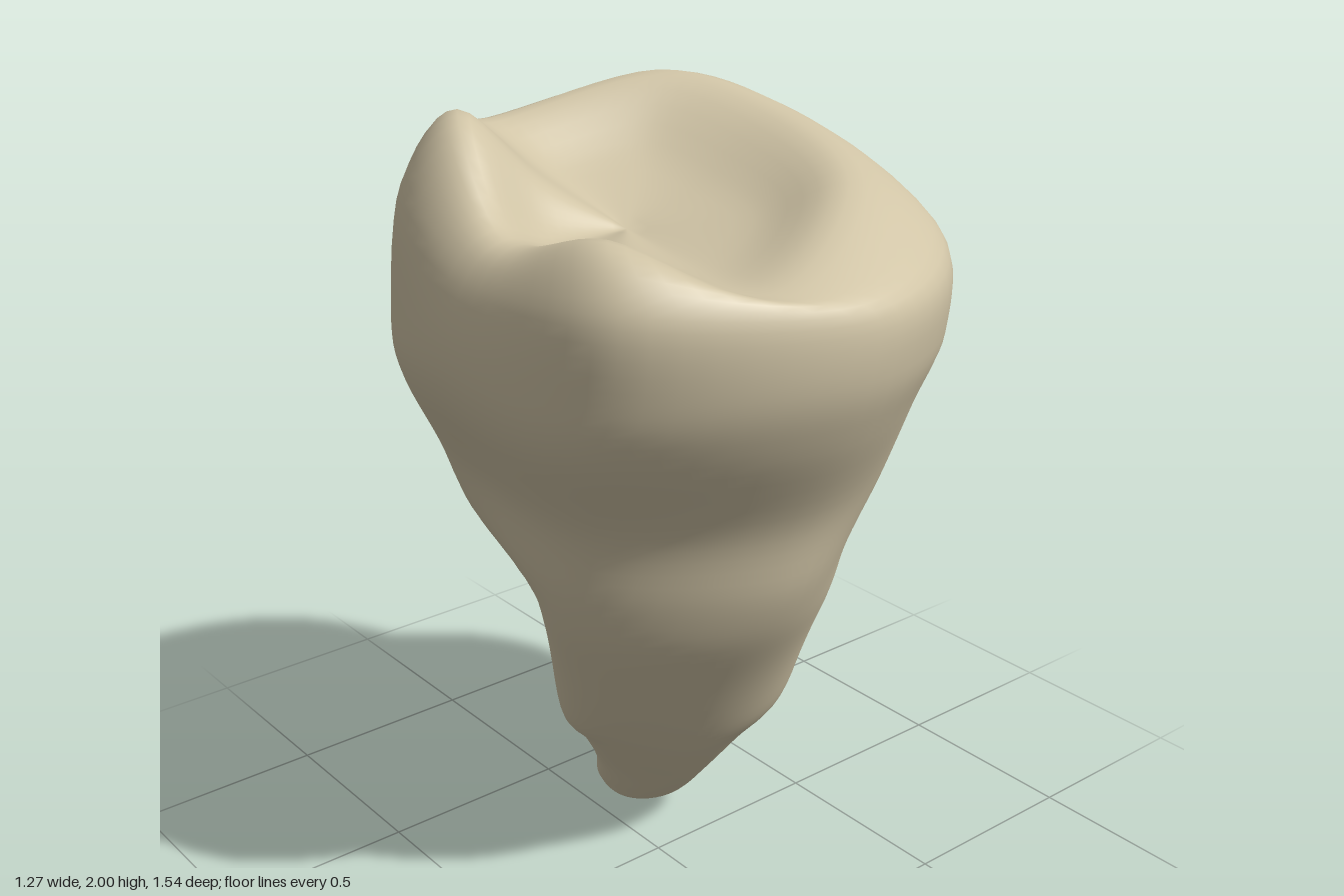
import * as THREE from 'three';
import { mergeGeometries, mergeVertices } from 'three/addons/utils/BufferGeometryUtils.js';

const N = 64, HALF = N / 2;
const V = (x, y, z) => new THREE.Vector3(x, y, z);

// Closed smooth ring through eight [x, z, y] corners: left, front-left, front, ... back-left
function ring(corners, level) {
  const curve = new THREE.CatmullRomCurve3(
    corners.map(([x, z, y = level]) => V(x, y, z)), true, 'catmullrom', 0.5);
  return Array.from({ length: N }, (_, i) => curve.getPoint(i / N));
}

// Skin through rows of N points; "lead" is a hidden row that sets the starting slope
function loft(rows, steps, lead) {
  const all = lead ? [lead, ...rows] : rows;
  const segments = all.length - 1, skip = lead ? steps : 0, count = segments * steps - skip;
  const positions = new Float32Array((count + 1) * N * 3), index = [];
  for (let i = 0; i < N; i++) {
    const column = new THREE.CatmullRomCurve3(all.map((r) => r[i]), false, 'catmullrom', 0.5);
    for (let r = 0; r <= count; r++) {
      column.getPoint((r + skip) / (segments * steps)).toArray(positions, (r * N + i) * 3);
    }
  }
  for (let r = 0; r < count; r++) {
    for (let i = 0; i < N; i++) {
      const j = (i + 1) % N;
      const a = r * N + i, b = a + N, c = r * N + j, d = c + N;
      index.push(a, b, c, c, b, d);
    }
  }
  const geometry = new THREE.BufferGeometry();
  geometry.setAttribute('position', new THREE.BufferAttribute(positions, 3));
  geometry.setIndex(index);
  return geometry;
}

// Slanted oval root sections [y, xMin, xMax, zMin, zMax], lined up with a starting ring
function rootRows(start, sections, tip) {
  const slant = 0.15;
  const centre = start.reduce((sum, p) => sum.add(p), V(0, 0, 0)).divideScalar(N);
  const ovals = sections.map(([y, x0, x1, z0, z1]) => start.map((p) => {
    const a = Math.atan2(p.z - centre.z, p.x - centre.x);
    return V((x0 + x1) / 2 + Math.cos(a - slant) * (x1 - x0) / 2, y,
      (z0 + z1) / 2 + Math.sin(a + slant) * (z1 - z0) / 2);
  }));
  return [start, ...ovals, start.map(() => tip)];
}

// Relax the surface around one height, so that the root fork is rounded
function soften(geometry, level, reach, passes) {
  const pos = geometry.attributes.position, index = geometry.index.array;
  const p = V(0, 0, 0);
  for (let pass = 0; pass < passes; pass++) {
    const sums = Array.from({ length: pos.count }, () => V(0, 0, 0));
    const counts = new Uint16Array(pos.count);
    for (let k = 0; k < index.length; k++) {
      const from = index[k], to = index[k % 3 === 2 ? k - 2 : k + 1];
      sums[from].add(p.fromBufferAttribute(pos, to));
      counts[from]++;
    }
    for (let i = 0; i < pos.count; i++) {
      if (!counts[i]) continue;
      p.fromBufferAttribute(pos, i);
      const weight = 0.5 * Math.exp(-(((p.y - level) / reach) ** 2));
      p.lerp(sums[i].divideScalar(counts[i]), weight);
      pos.setXYZ(i, p.x, p.y, p.z);
    }
  }
}

export function createModel() {
  const enamel = new THREE.MeshStandardMaterial({ color: 0xd0c4a6 });
  enamel.name = 'ivory';

  // Chewing surface: pit, inner slopes, cusped rim, rounded shoulder
  const pit = Array.from({ length: N }, () => V(-0.13, 1.735, 0.05));
  const slope = ring([[-0.34, 0.07, 1.745], [-0.34, 0.3, 1.78], [-0.2, 0.4, 1.74], [0.04, 0.28, 1.78],
    [0.08, 0.06, 1.81], [0.04, -0.12, 1.84], [-0.15, -0.18, 1.82], [-0.28, -0.06, 1.84]]);
  const rim = ring([[-0.5, 0.11, 1.79], [-0.49, 0.45, 1.86], [-0.24, 0.65, 1.755], [0.18, 0.43, 1.865],
    [0.31, 0.05, 1.945], [0.2, -0.25, 2.0], [-0.2, -0.37, 1.92], [-0.42, -0.17, 1.99]]);
  const shoulder = ring([[-0.585, 0.09, 1.72], [-0.55, 0.56, 1.75], [-0.06, 0.755, 1.71], [0.36, 0.54, 1.75],
    [0.48, 0.06, 1.82], [0.34, -0.31, 1.84], [-0.14, -0.49, 1.81], [-0.5, -0.29, 1.83]]);

  // Crown sides, neck and root trunk
  const belly = ring([[-0.62, 0.05], [-0.55, 0.54], [-0.06, 0.76], [0.38, 0.55],
    [0.54, 0.05], [0.385, -0.32], [-0.12, -0.54], [-0.49, -0.37]], 1.56);
  const lower = ring([[-0.585, -0.02], [-0.54, 0.46], [-0.06, 0.7], [0.37, 0.49],
    [0.54, 0.04], [0.42, -0.34], [-0.07, -0.55], [-0.46, -0.4]], 1.4);
  const neck = ring([[-0.45, -0.09], [-0.44, 0.33], [-0.04, 0.575], [0.36, 0.41],
    [0.54, 0.03], [0.565, -0.38], [0.09, -0.62], [-0.33, -0.46]], 1.17);
  const trunk = ring([[-0.38, -0.15], [-0.425, 0.25], [-0.05, 0.52], [0.32, 0.34],
    [0.54, 0], [0.625, -0.38], [0.2, -0.66], [-0.2, -0.53]], 0.97);
  const fork = ring([[-0.22, -0.21, 0.87], [-0.425, 0.16], [-0.06, 0.455], [0.32, 0.3],
    [0.465, -0.02, 0.86], [0.64, -0.4], [0.28, -0.69], [-0.08, -0.55]], 0.8);

  // Saddle between the roots splits the fork ring into a front and a back loop
  const saddle = new THREE.QuadraticBezierCurve3(fork[HALF], V(0.15, 0.34, -0.27), fork[0])
    .getPoints(HALF);
  const frontLoop = [...fork.slice(0, HALF), ...saddle.slice(0, HALF)];
  const backLoop = [...fork.slice(HALF), ...saddle.slice(1).reverse()];

  const front = rootRows(frontLoop, [[0.5, -0.27, 0.315, -0.19, 0.26], [0.35, -0.155, 0.235, -0.205, 0.145],
    [0.2, -0.05, 0.21, -0.265, 0.02], [0.08, 0.015, 0.207, -0.33, -0.09],
    [0.02, 0.06, 0.185, -0.3, -0.17]], V(0.125, 0, -0.24));
  const back = rootRows(backLoop, [[0.5, 0.05, 0.57, -0.69, -0.25], [0.36, 0.16, 0.545, -0.71, -0.36],
    [0.25, 0.26, 0.55, -0.75, -0.47], [0.16, 0.37, 0.552, -0.768, -0.6],
    [0.12, 0.43, 0.53, -0.755, -0.66]], V(0.485, 0.105, -0.715));

  // Outer columns continue the trunk; saddle columns run across into the other root
  const leadFor = (other, offset) => Array.from({ length: N }, (_, i) =>
    i <= HALF ? trunk[(i + offset) % N] : other[1][(N + HALF - i) % N]);

  const merged = mergeGeometries([
    loft([pit, slope, rim, shoulder, belly, lower, neck, trunk, fork], 6),
    loft(front, 7, leadFor(back, 0)),
    loft(back, 7, leadFor(front, HALF)),
  ]);
  const geometry = mergeVertices(merged, 1e-4);
  soften(geometry, 0.68, 0.18, 20);
  geometry.computeVertexNormals();

  const tooth = new THREE.Mesh(geometry, enamel);
  tooth.name = 'crownAndRoots';
  const model = new THREE.Group();
  model.name = 'molar';
  model.add(tooth);
  return model;
}
